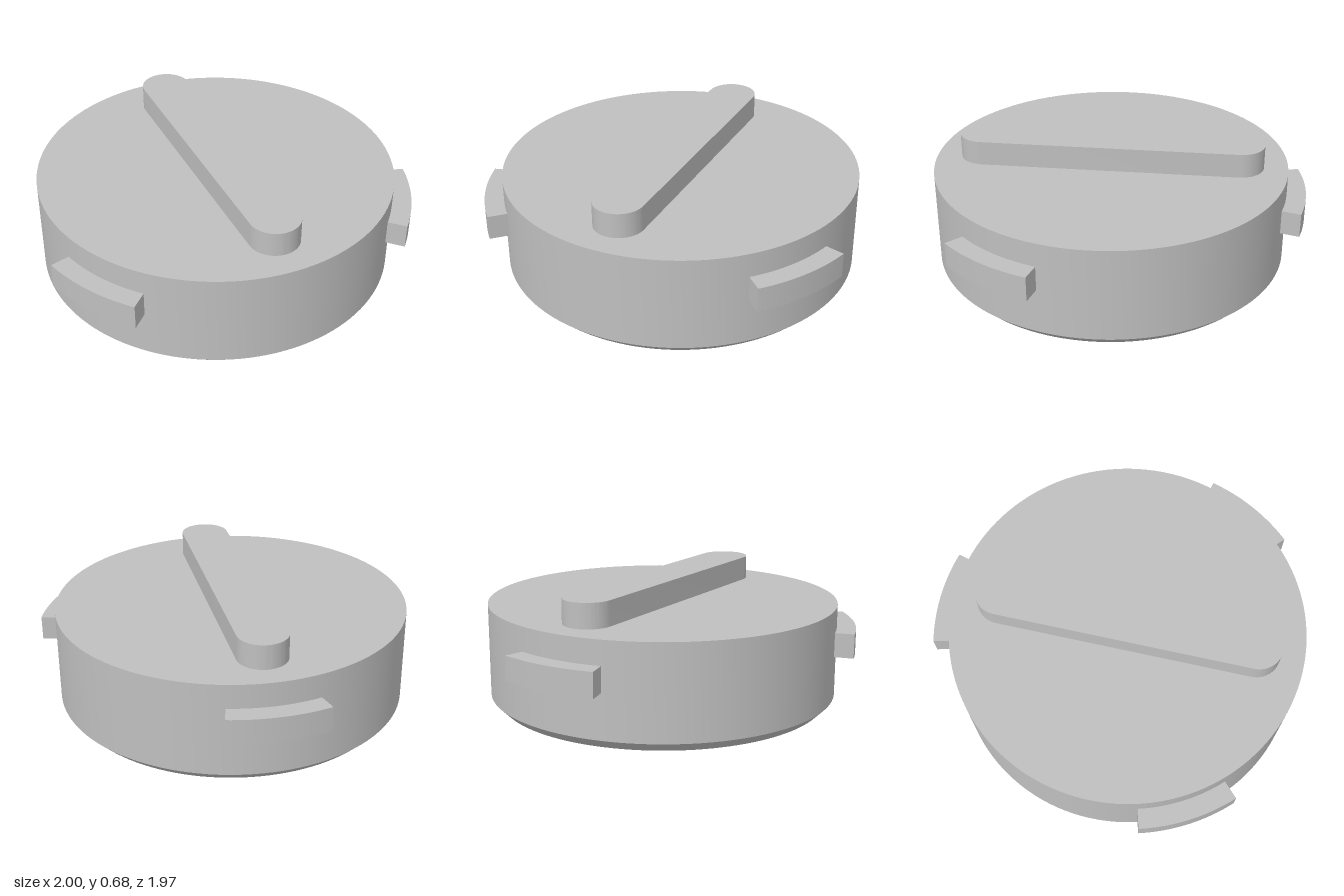
import * as THREE from 'three';
import { toCreasedNormals } from 'three/addons/utils/BufferGeometryUtils.js';

const R = 0.935;          // body radius
const CHAMFER = 0.05;
const HEIGHT = 0.545;
const WELL_R = 0.215, WELL_RING = 0.5, WELL_DEPTH = 0.42;

const grey = new THREE.MeshStandardMaterial({ color: 0xbfbfbf });
grey.name = 'grey';

function addPart(parent, name, geometry) {
  const mesh = new THREE.Mesh(toCreasedNormals(geometry, 0.5), grey);
  mesh.name = name;
  parent.add(mesh);
  return mesh;
}

// Revolves [radius, y] points around the vertical axis
function revolve(points, segments) {
  return new THREE.LatheGeometry(points.map(([r, y]) => new THREE.Vector2(r, y)), segments);
}

// Extrudes a plan shape (x, z) between two heights
function slab(shape, bottom, top) {
  const g = new THREE.ExtrudeGeometry(shape, { depth: top - bottom, bevelEnabled: false, curveSegments: 24 });
  return g.rotateX(Math.PI / 2).translate(0, top, 0);
}

export function createModel() {
  const model = new THREE.Group();
  model.name = 'twistCap';
  const cap = new THREE.Group();
  cap.name = 'cap';
  cap.position.z = 0.05;
  model.add(cap);

  // Chamfered side wall and flat top
  addPart(cap, 'body', revolve([[R - CHAMFER, 0], [R, CHAMFER], [R, HEIGHT], [0, HEIGHT]], 128));

  // Underside pierced by a centre well and a ring of six
  const centres = [[0, 0]];
  for (let i = 0; i < 6; i++) {
    const a = Math.PI / 2 + i * Math.PI / 3;
    centres.push([WELL_RING * Math.cos(a), WELL_RING * Math.sin(a)]);
  }
  const base = new THREE.Shape().absarc(0, 0, R - CHAMFER, 0, Math.PI * 2);
  for (const [x, z] of centres) {
    base.holes.push(new THREE.Path().absarc(x, z, WELL_R, 0, Math.PI * 2, true));
    const well = addPart(cap, 'well', revolve([[0, WELL_DEPTH], [WELL_R, WELL_DEPTH], [WELL_R, 0]], 48));
    well.position.set(x, 0, z);
  }
  addPart(cap, 'underside', new THREE.ShapeGeometry(base, 64).rotateX(Math.PI / 2));

  // Grip bar with rounded ends
  const half = 0.13, reach = 0.678;
  const bar = new THREE.Shape()
    .absarc(0, reach, half, 0, Math.PI)
    .absarc(0, -reach, half, Math.PI, Math.PI * 2);
  bar.closePath();
  addPart(cap, 'grip', slab(bar, HEIGHT, 0.675));

  // Three curved locking lugs
  const spread = THREE.MathUtils.degToRad(14.5);
  for (const degrees of [30, 150, 270]) {
    const a = THREE.MathUtils.degToRad(degrees);
    const lug = new THREE.Shape()
      .absarc(0, 0, 1.036, a - spread, a + spread)
      .absarc(0, 0, R - 0.01, a + spread, a - spread, true);
    lug.closePath();
    addPart(cap, 'lug', slab(lug, 0.288, 0.418));
  }
  return model;
}
